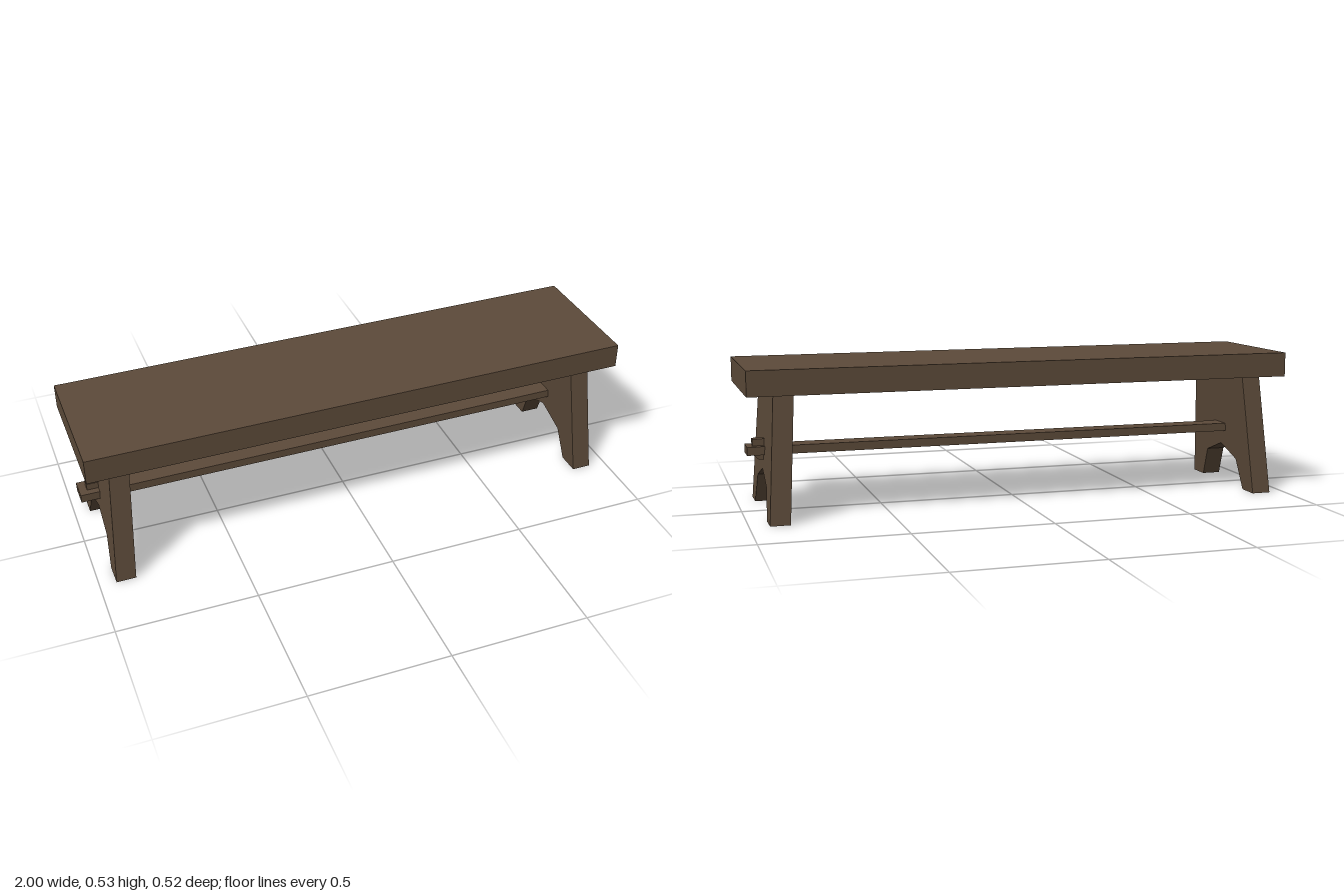
import * as THREE from 'three';

const SEAT_BOTTOM = 0.439, SEAT_TOP = 0.528;

// Closed polygon extruded along z and centred on z = 0
function extrude(points, depth) {
  const shape = new THREE.Shape(points.map(([x, y]) => new THREE.Vector2(x, y)));
  const geometry = new THREE.ExtrudeGeometry(shape, { depth, bevelEnabled: false });
  return geometry.translate(0, 0, -depth / 2);
}

export function createModel() {
  const wood = new THREE.MeshStandardMaterial({ color: 0x5d4b3a });
  wood.name = 'brown wood';
  const bench = new THREE.Group();
  bench.name = 'bench';

  const add = (name, geometry, x = 0, y = 0, z = 0) => {
    const mesh = new THREE.Mesh(geometry, wood);
    mesh.name = name;
    mesh.position.set(x, y, z);
    bench.add(mesh);
  };

  // Seat plank
  add('seat', new THREE.BoxGeometry(1.996, SEAT_TOP - SEAT_BOTTOM, 0.488),
    0, (SEAT_TOP + SEAT_BOTTOM) / 2, 0);

  // Stretcher whose ends pass through both legs
  add('stretcher', new THREE.BoxGeometry(1.975, 0.03, 0.08), -0.0075, 0.223, -0.004);

  for (const side of [-1, 1]) {
    const label = side > 0 ? 'left' : 'right';

    // Tapered leg board with a pointed notch, leaning in towards the seat
    const half = [[0.171, 0], [0.122, 0.11]];
    const leg = extrude([
      [-0.254, 0], [-half[0][0], 0], [-half[1][0], 0.11], [0, 0.154],
      [half[1][0], 0.11], [half[0][0], 0], [0.254, 0],
      [0.198, SEAT_BOTTOM], [-0.198, SEAT_BOTTOM],
    ], 0.07);
    leg.rotateY(Math.PI / 2);
    const p = leg.attributes.position;
    for (let i = 0; i < p.count; i++) {
      p.setX(i, p.getX(i) + side * (0.903 - 0.065 * p.getY(i)));
    }
    leg.computeVertexNormals();
    add(label + 'Leg', leg, -0.0045, 0, -0.001);

    // Wedge driven through the stretcher end, chamfered underneath
    const wedge = extrude([
      [0.91, 0.188], [0.942, 0.188], [0.963, 0.208], [0.963, 0.262], [0.91, 0.262],
    ].map(([x, y]) => [side * x, y]), 0.031);
    add(label + 'Wedge', wedge, -0.0045, 0, -0.004);
  }

  // The whole bench stands very slightly turned
  bench.rotation.y = 0.0075;
  const model = new THREE.Group();
  model.name = 'model';
  model.add(bench);
  return model;
}
